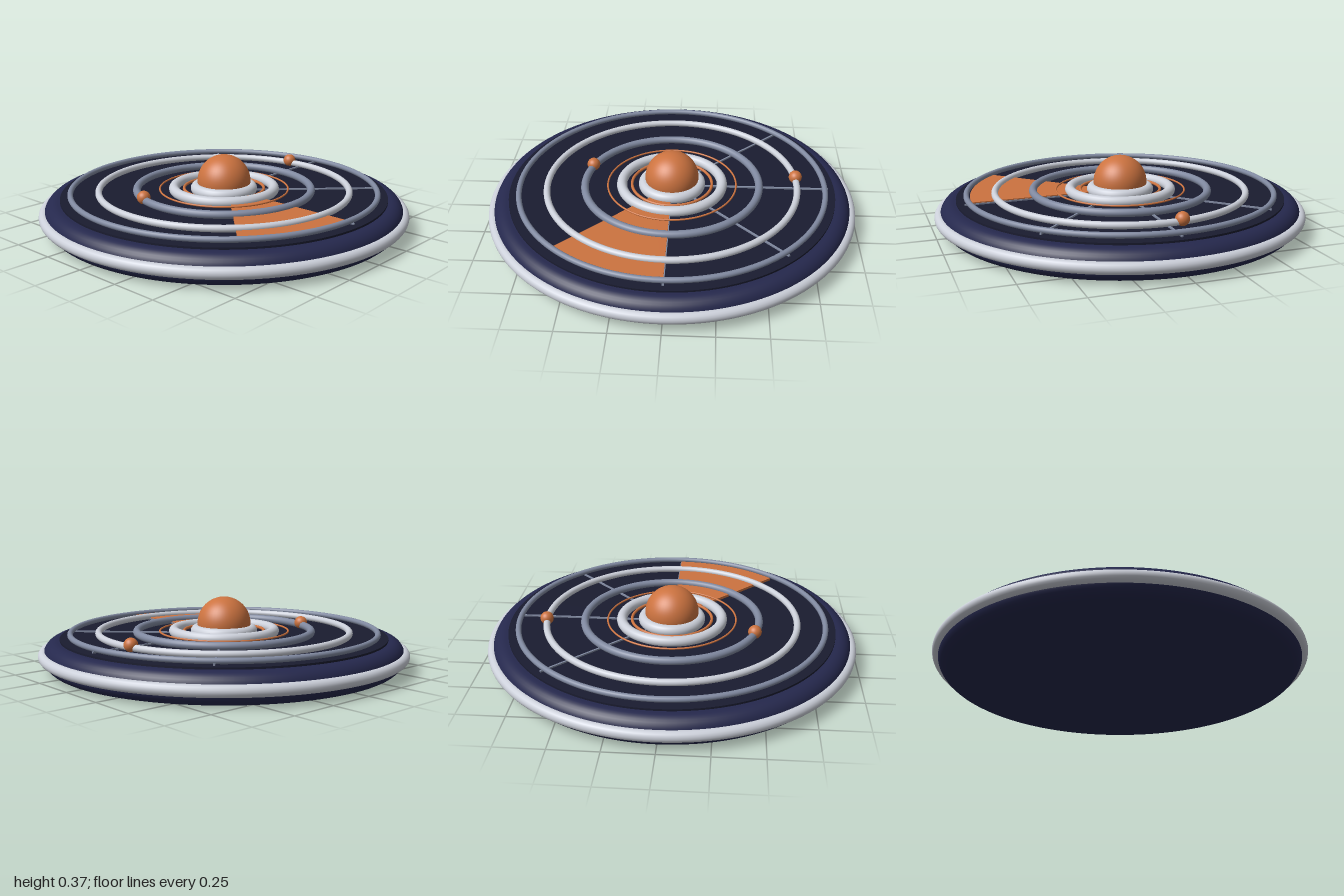
import * as THREE from 'three';

const NAVY = 0x25284d, DARK = 0x1a1c30, SILVER = 0xccd0da, GREY = 0x8089a0, ORANGE = 0xcc7340;
const RING_Y = 0.185;

export function createModel() {
  const model = new THREE.Group();

  function add(name, geometry, color, x = 0, y = 0, z = 0) {
    const mesh = new THREE.Mesh(geometry, new THREE.MeshStandardMaterial({ color }));
    mesh.name = name;
    mesh.position.set(x, y, z);
    model.add(mesh);
    return mesh;
  }

  function ring(name, radius, tube, color, y = RING_Y) {
    const geometry = new THREE.TorusGeometry(radius, tube, 16, 128).rotateX(Math.PI / 2);
    return add(name, geometry, color, 0, y);
  }

  // Round base with a softly rolled edge
  const profile = [new THREE.Vector2(0, 0)];
  const roll = 0.07, top = 0.157, rim = 0.97;
  for (let i = 0; i <= 8; i++) {
    const a = -Math.PI / 2 + (i / 8) * Math.PI / 2;
    profile.push(new THREE.Vector2(rim - roll + roll * Math.cos(a), roll + roll * Math.sin(a)));
  }
  for (let i = 0; i <= 8; i++) {
    const a = (i / 8) * Math.PI / 2;
    profile.push(new THREE.Vector2(rim - roll + roll * Math.cos(a), top - roll + roll * Math.sin(a)));
  }
  profile.push(new THREE.Vector2(0, top));
  add('base', new THREE.LatheGeometry(profile, 128), NAVY);
  ring('rimBand', 0.97, 0.03, SILVER, 0.08);

  // Dark dial face
  add('dialFace', new THREE.CylinderGeometry(0.885, 0.885, 0.03, 128), DARK, 0, 0.152);

  // Concentric rings
  ring('outerRing', 0.83, 0.015, GREY);
  ring('orbitRing', 0.68, 0.018, SILVER);
  ring('middleRing', 0.475, 0.021, GREY);
  ring('accentRingLarge', 0.35, 0.005, ORANGE);
  ring('innerRing', 0.273, 0.028, SILVER);
  ring('accentRingSmall', 0.218, 0.008, ORANGE);
  ring('domeCollar', 0.15, 0.032, SILVER);

  // Spokes across the back half of the dial
  for (let i = 0; i < 4; i++) {
    const a = (i * Math.PI) / 4;
    const spoke = add('spoke' + (i + 1), new THREE.BoxGeometry(0.7, 0.01, 0.01), GREY,
      0.5 * Math.cos(a), 0.17, -0.5 * Math.sin(a));
    spoke.rotation.y = a;
  }

  // Raised coloured sector, drawn flat and laid on the dial
  const sector = new THREE.Shape();
  sector.absarc(0, 0, 0.81, 0, 0.752, false);
  sector.absarc(0, 0, 0.17, 0.66, 0, true);
  sector.closePath();
  const sectorGeometry = new THREE.ExtrudeGeometry(sector, { depth: 0.015, bevelEnabled: false, curveSegments: 32 });
  sectorGeometry.rotateX(Math.PI / 2);
  add('sector', sectorGeometry, ORANGE, 0, 0.181);

  // Central dome and the two beads riding on the rings
  add('dome', new THREE.SphereGeometry(0.145, 48, 32), ORANGE, 0, 0.225);
  add('backBead', new THREE.SphereGeometry(0.036, 24, 16), ORANGE, -0.075, 0.198, -0.677);
  add('frontBead', new THREE.SphereGeometry(0.036, 24, 16), ORANGE, -0.155, 0.198, 0.45);

  return model;
}
